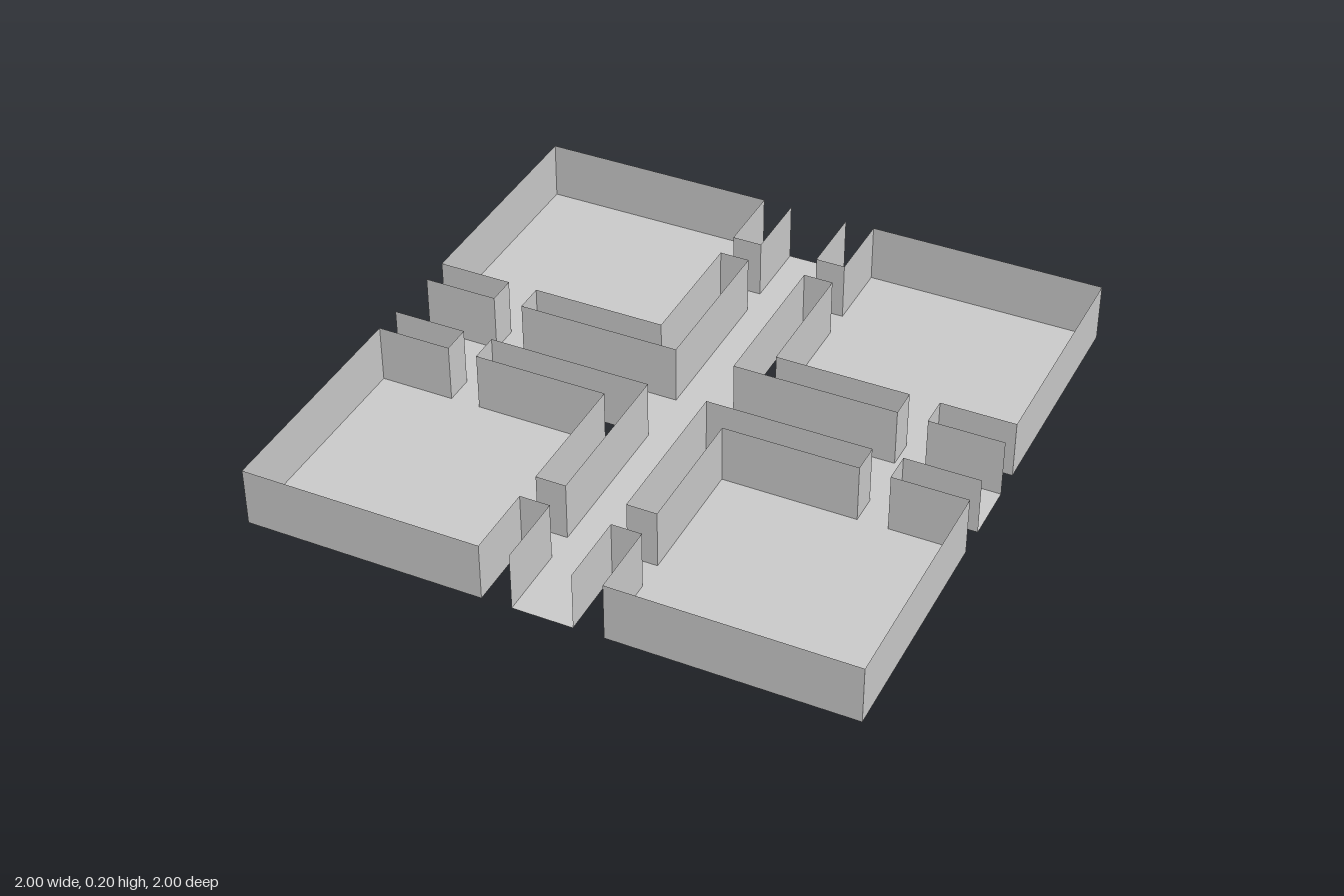
import * as THREE from 'three';

const HEIGHT = 0.2;   // wall height
const HALF = 1;       // half of the plan
const HALL = 0.1;     // half width of the corridors
const ROOM = 0.2;     // inner edge of each room
const DOOR = [0.65, 0.75];

export function createModel() {
  const model = new THREE.Group();
  model.name = 'floorPlan';
  const plaster = new THREE.MeshStandardMaterial({ color: 0xcccccc, side: THREE.DoubleSide });
  plaster.name = 'light grey plaster';

  // Upright sheet between two plan points
  function wall(parent, name, x0, z0, x1, z1) {
    const mesh = new THREE.Mesh(new THREE.PlaneGeometry(Math.hypot(x1 - x0, z1 - z0), HEIGHT), plaster);
    mesh.name = name;
    mesh.position.set((x0 + x1) / 2, HEIGHT / 2, (z0 + z1) / 2);
    mesh.rotation.y = -Math.atan2(z1 - z0, x1 - x0);
    parent.add(mesh);
  }

  // Flat sheet on the ground, facing up
  function floor(parent, name, x0, z0, x1, z1) {
    const mesh = new THREE.Mesh(new THREE.PlaneGeometry(x1 - x0, z1 - z0), plaster);
    mesh.name = name;
    mesh.rotation.x = -Math.PI / 2;
    mesh.position.set((x0 + x1) / 2, 0, (z0 + z1) / 2);
    parent.add(mesh);
  }

  // Crossing corridors, open at their ends
  const corridors = new THREE.Group();
  corridors.name = 'corridors';
  floor(corridors, 'longCorridorFloor', -HALL, -HALF, HALL, HALF);
  floor(corridors, 'leftCorridorFloor', HALL, -HALL, HALF, HALL);
  floor(corridors, 'rightCorridorFloor', -HALF, -HALL, -HALL, HALL);
  model.add(corridors);

  // Four equal quarters turned about the centre
  const [d0, d1] = DOOR;
  for (let i = 0; i < 4; i++) {
    const quarter = new THREE.Group();
    quarter.name = 'quarter' + (i + 1);
    quarter.rotation.y = i * Math.PI / 2;

    // Room with two solid outer walls
    floor(quarter, 'roomFloor', ROOM, ROOM, HALF, HALF);
    wall(quarter, 'outerWall', ROOM, HALF, HALF, HALF);
    wall(quarter, 'outerWall', HALF, HALF, HALF, ROOM);

    // Inner room walls and corridor walls, broken by the doorways
    for (const [name, at] of [['innerWall', ROOM], ['corridorWall', HALL]]) {
      for (const [from, to] of [[at, d0], [d1, HALF]]) {
        wall(quarter, name, from, at, to, at);
        wall(quarter, name, at, from, at, to);
      }
    }

    // Short passages joining the room to both corridors
    floor(quarter, 'passageFloor', d0, HALL, d1, ROOM);
    floor(quarter, 'passageFloor', HALL, d0, ROOM, d1);
    for (const d of DOOR) {
      wall(quarter, 'passageWall', d, HALL, d, ROOM);
      wall(quarter, 'passageWall', HALL, d, ROOM, d);
    }
    model.add(quarter);
  }
  return model;
}
